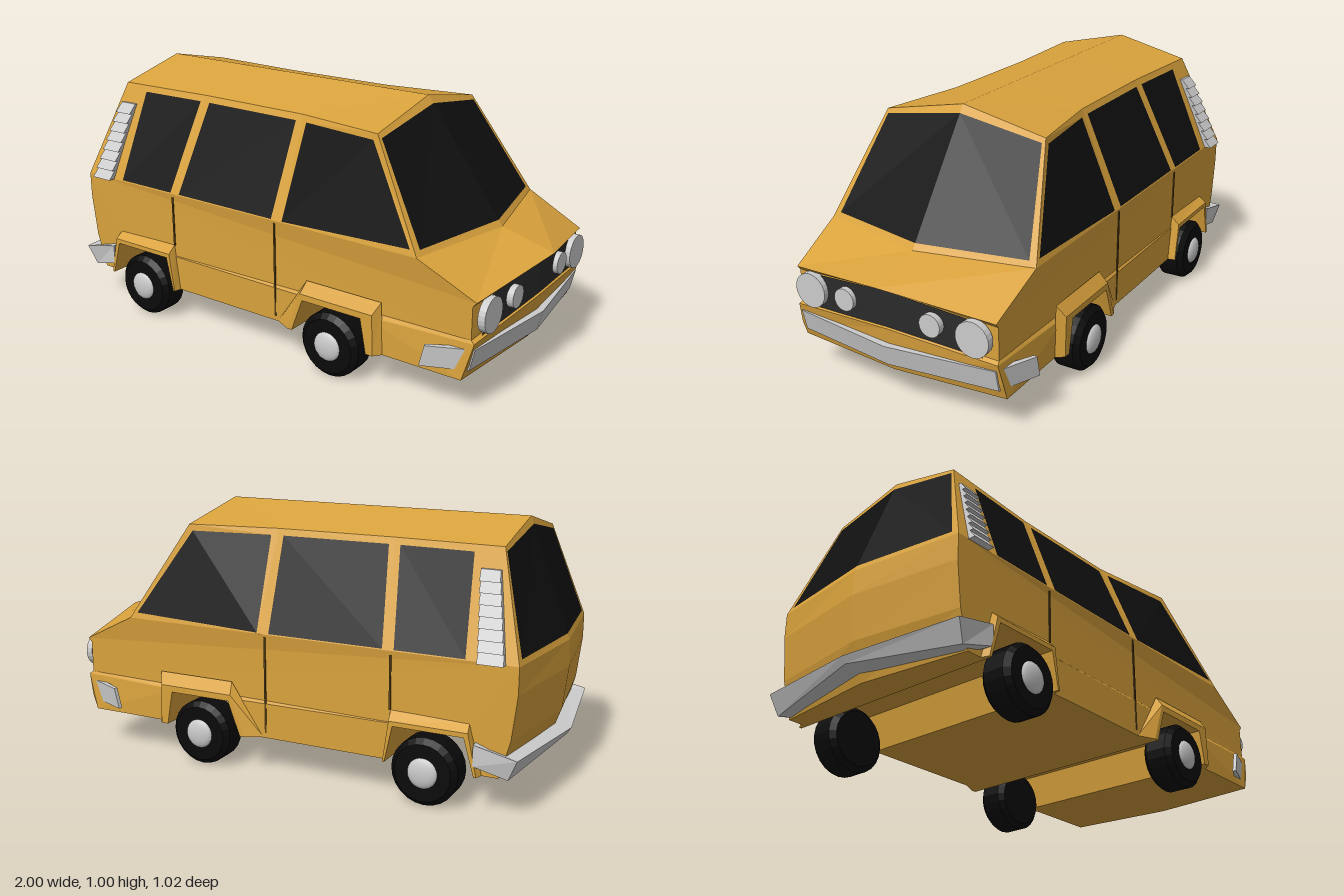
import * as THREE from 'three';

const mat = (color, extra = {}) => new THREE.MeshStandardMaterial({ color, flatShading: true, ...extra });
const paint = mat(0xd9a23c), glass = mat(0x101010), rubber = mat(0x0a0a0a);
const dark = mat(0x2b2b2b), seamMat = mat(0x5a4215), grey = mat(0xcccccc);

const lerp3 = (a, b, t) => a.map((v, i) => v + (b[i] - v) * t);
const flipZ = ([x, y, z]) => [x, y, -z];

function geometryFrom(tris) {
  const g = new THREE.BufferGeometry();
  g.setAttribute('position', new THREE.Float32BufferAttribute(tris.flat(2), 3));
  g.computeVertexNormals();
  return g;
}

function mesh(name, geometry, material) {
  const m = new THREE.Mesh(geometry, material);
  m.name = name;
  return m;
}

// Closed solid through matching cross-sections; concave end caps lie in the xy plane
function loft(sections, concave = false) {
  const tris = [], n = sections[0].length;
  for (let s = 0; s < sections.length - 1; s++) {
    const a = sections[s], b = sections[s + 1];
    for (let i = 0; i < n; i++) {
      const j = (i + 1) % n;
      tris.push([a[i], a[j], b[j]], [a[i], b[j], b[i]]);
    }
  }
  let faces = [];
  if (concave) {
    const flat = sections[0].map(p => new THREE.Vector2(p[0], p[1]));
    const area = (a, b, c) => (b.x - a.x) * (c.y - a.y) - (b.y - a.y) * (c.x - a.x);
    const ccw = THREE.ShapeUtils.area(flat) > 0;
    faces = THREE.ShapeUtils.triangulateShape(flat, []).map(([i, j, k]) =>
      (area(flat[i], flat[j], flat[k]) > 0) === ccw ? [i, j, k] : [i, k, j]);
  } else {
    for (let i = 1; i < n - 1; i++) faces.push([0, i, i + 1]);
  }
  const first = sections[0], last = sections[sections.length - 1];
  for (const [i, j, k] of faces) tris.push([first[i], first[k], first[j]], [last[i], last[j], last[k]]);
  // Turn the solid right side out
  const V = p => new THREE.Vector3(...p);
  const volume = tris.reduce((v, [a, b, c]) => v + V(a).dot(V(b).cross(V(c))), 0);
  return geometryFrom(volume < 0 ? tris.map(([a, b, c]) => [a, c, b]) : tris);
}

// Adds a quad facing away from the middle of the cabin
function quad(list, a, b, c, d) {
  const [A, B, C, D] = [a, b, c, d].map(p => new THREE.Vector3(...p));
  const normal = C.clone().sub(A).cross(D.clone().sub(B));
  const out = A.clone().add(C).multiplyScalar(0.5).sub(new THREE.Vector3(-0.1, 0.6, 0));
  if (normal.dot(out) > 0) list.push([a, b, c], [a, c, d]);
  else list.push([a, c, b], [a, d, c]);
}

// Point on a four-cornered panel: u along the belt, v up to the roof
const onPanel = ([a, b, c, d], u, v) => lerp3(lerp3(a, b, u), lerp3(d, c, u), v);

export function createModel() {
  const model = new THREE.Group();
  model.name = 'van';
  const add = (name, geometry, material) => {
    const m = mesh(name, geometry, material);
    model.add(m);
    return m;
  };

  // Lower body: side outline [x, y, centre x, centre y, half width] with open wheel wells
  const W = 0.445;
  const outline = [
    [-0.92, 0.55, -0.975, 0.55], [-0.92, 0.45, -0.98, 0.45], [-0.9, 0.28, -0.96, 0.28], [-0.86, 0.14, -0.91, 0.14],
    [-0.78, 0.14], [-0.74, 0.28], [-0.47, 0.28], [-0.44, 0.14],
    [0.17, 0.14], [0.22, 0.275], [0.48, 0.275], [0.505, 0.14],
    [0.88, 0.14, 0.92, 0.14], [0.9, 0.2, 0.94, 0.2], [0.92, 0.285, 0.955, 0.318, 0.435],
    [0.905, 0.295, 0.94, 0.325, 0.43], [0.905, 0.42, 0.945, 0.46, 0.43],
    [0.92, 0.437, 1.0, 0.493, 0.43], [0.69, 0.55, 0.79, 0.55],
  ];
  const side = outline.map(([x, y, , , w = W]) => [x, y, w]);
  const middle = outline.map(([x, y, cx = x, cy = y]) => [cx, cy, 0]);
  add('lowerBody', loft([side, middle, side.map(flipZ)], true), paint);

  // Cabin: belt and roof stations from rear to front, one window per bay
  const belt = [[-0.92, 0.55, W], [-0.44, 0.55, W], [0.08, 0.55, W], [0.69, 0.55, W]];
  const roof = [[-0.81, 0.93, 0.3], [-0.39, 0.93, 0.28], [0.09, 0.93, 0.287], [0.46, 0.93, 0.345]];
  const ridge = roof.map(p => [p[0], 1, 0]);
  const frames = [], panes = [];
  const windowPanel = (corners, hole) => {
    const inner = hole.map(([u, v]) => onPanel(corners, u, v));
    for (let i = 0; i < 4; i++) {
      const j = (i + 1) % 4;
      quad(frames, corners[i], corners[j], inner[j], inner[i]);
    }
    quad(panes, ...inner);
  };
  const bays = [0, 1, 2].map(i => [belt[i], belt[i + 1], roof[i + 1], roof[i]]);
  const holes = [
    [[0.4, 0.01], [0.96, 0.01], [0.95, 0.935], [0.275, 0.935]],
    [[0.05, 0.01], [0.95, 0.01], [0.95, 0.935], [0.05, 0.935]],
    [[0.04, 0.01], [0.97, 0.06], [0.92, 0.935], [0.07, 0.935]],
  ];
  const endHole = [[0.06, 0.05], [1, 0.05], [1, 0.935], [0.04, 0.95]];
  for (const m of [p => p, flipZ]) {
    bays.forEach((bay, i) => {
      windowPanel(bay.map(m), holes[i]);
      quad(frames, m(roof[i]), m(roof[i + 1]), ridge[i + 1], ridge[i]);
    });
    windowPanel([m(belt[3]), [0.79, 0.55, 0], ridge[3], m(roof[3])], endHole);
    windowPanel([m(belt[0]), [-0.975, 0.55, 0], ridge[0], m(roof[0])], endHole);
  }
  add('cabinFrame', geometryFrom(frames), paint);
  add('windows', geometryFrom(panes), glass);

  // Grille halves under the bonnet lip
  const grille = [];
  for (const m of [p => p, flipZ])
    quad(grille, [0.951, 0.463, 0], [0.948, 0.322, 0], m([0.917, 0.292, 0.375]), m([0.922, 0.43, 0.315]));
  add('grille', geometryFrom(grille), dark);

  // Bumpers: sections run from one end, round the nose or tail, to the other
  const frontSection = (x, z, top, bottom, nx, nz) => [
    [x, top, z], [x - 0.02, bottom, z], [x - 0.02 - nx, bottom, z - nz], [x - nx, top, z - nz]];
  const frontHalf = [frontSection(0.755, 0.488, 0.255, 0.172, 0.004, 0.014),
    frontSection(0.92, 0.425, 0.26, 0.175, 0.03, 0.015)];
  const rearHalf = [
    [[-0.775, 0.26, 0.475], [-0.775, 0.18, 0.475], [-0.775, 0.18, 0.44], [-0.775, 0.26, 0.44]],
    [[-0.935, 0.225, 0.475], [-0.9, 0.145, 0.46], [-0.85, 0.145, 0.42], [-0.87, 0.225, 0.42]]];
  const wrap = (half, centre) => loft([...half, centre, ...half.map(s => s.map(flipZ)).reverse()]);
  add('frontBumper', wrap(frontHalf, frontSection(0.975, 0, 0.258, 0.177, 0.03, 0)), grey);
  add('rearBumper', wrap(rearHalf,
    [[-1, 0.21, 0], [-0.985, 0.185, 0], [-0.91, 0.17, 0], [-0.93, 0.22, 0]]), grey);

  // Wheel arch flares: where each leaves the body, its outer edge, and the wheel opening
  const flares = {
    front: [[[0.08, 0.14], [0.22, 0.345], [0.55, 0.345], [0.56, 0.14]],
      [[0.15, 0.14], [0.21, 0.3], [0.53, 0.3], [0.535, 0.14]],
      [[0.17, 0.14], [0.22, 0.275], [0.48, 0.275], [0.505, 0.14]]],
    rear: [[[-0.8, 0.14], [-0.75, 0.325], [-0.45, 0.33], [-0.425, 0.14]],
      [[-0.79, 0.14], [-0.755, 0.298], [-0.455, 0.298], [-0.432, 0.14]],
      [[-0.78, 0.14], [-0.74, 0.28], [-0.47, 0.28], [-0.44, 0.14]]],
  };
  const tyre = new THREE.LatheGeometry([[0, -0.0625], [0.108, -0.0625], [0.128, -0.042], [0.128, 0.042],
    [0.108, 0.0625], [0, 0.0625]].map(p => new THREE.Vector2(...p)), 24).rotateX(Math.PI / 2);
  const hub = new THREE.SphereGeometry(0.058, 20, 12).scale(1, 1, 0.35);
  const hubMat = new THREE.MeshStandardMaterial({ color: 0xcccccc });

  for (const s of [1, -1]) {
    const label = s > 0 ? 'left' : 'right';
    for (const [end, [base, edge, opening]] of Object.entries(flares)) {
      const sections = base.map((b, i) => [
        [...b, s * 0.443], [...edge[i], s * 0.475], [...opening[i], s * 0.475], [...opening[i], s * 0.443]]);
      add(`${label}${end}WheelArch`, loft(sections), paint);

      // Wheel with a domed hub
      const wheel = new THREE.Group();
      wheel.name = `${label}${end}Wheel`;
      const cap = mesh('hub', hub, hubMat);
      cap.position.z = s * 0.06;
      wheel.add(mesh('tyre', tyre, rubber), cap);
      wheel.position.set(end === 'front' ? 0.345 : -0.595, 0.128, s * 0.4275);
      model.add(wheel);
    }

    // Round lamps, large outside and small inside
    for (const [x, y, z, r] of [[0.932, 0.37, 0.35, 0.067], [0.942, 0.38, 0.185, 0.043]]) {
      const lamp = add(`${label}Headlight`, new THREE.CylinderGeometry(r, r, 0.028, 24).rotateZ(Math.PI / 2), grey);
      lamp.position.set(x, y, s * z);
    }

    // Louvred vent on the rear pillar
    for (let i = 0; i < 8; i++) {
      const at = (right, k, out) => {
        const u = right ? 0.3 - 0.08 * k : 0.1 - 0.05 * k;
        const [x, y, z] = onPanel(bays[0], u, 0.8 * k);
        return [x, y, s * (z + out)];
      };
      const k0 = i / 8, k1 = (i + 1) / 8;
      add(`${label}VentSlat`, loft([0, 1].map(r =>
        [at(r, k0, -0.01), at(r, k0, 0.028), at(r, k1, 0.012), at(r, k1, -0.01)])), grey);
    }

    // Door seams
    for (const [x, y0, y1] of [[-0.447, 0.33, 0.535], [0.07, 0.16, 0.54]]) {
      const seam = add(`${label}DoorSeam`, new THREE.BoxGeometry(0.007, y1 - y0, 0.004), seamMat);
      seam.position.set(x, (y0 + y1) / 2, s * W);
    }
  }
  return model;
}
